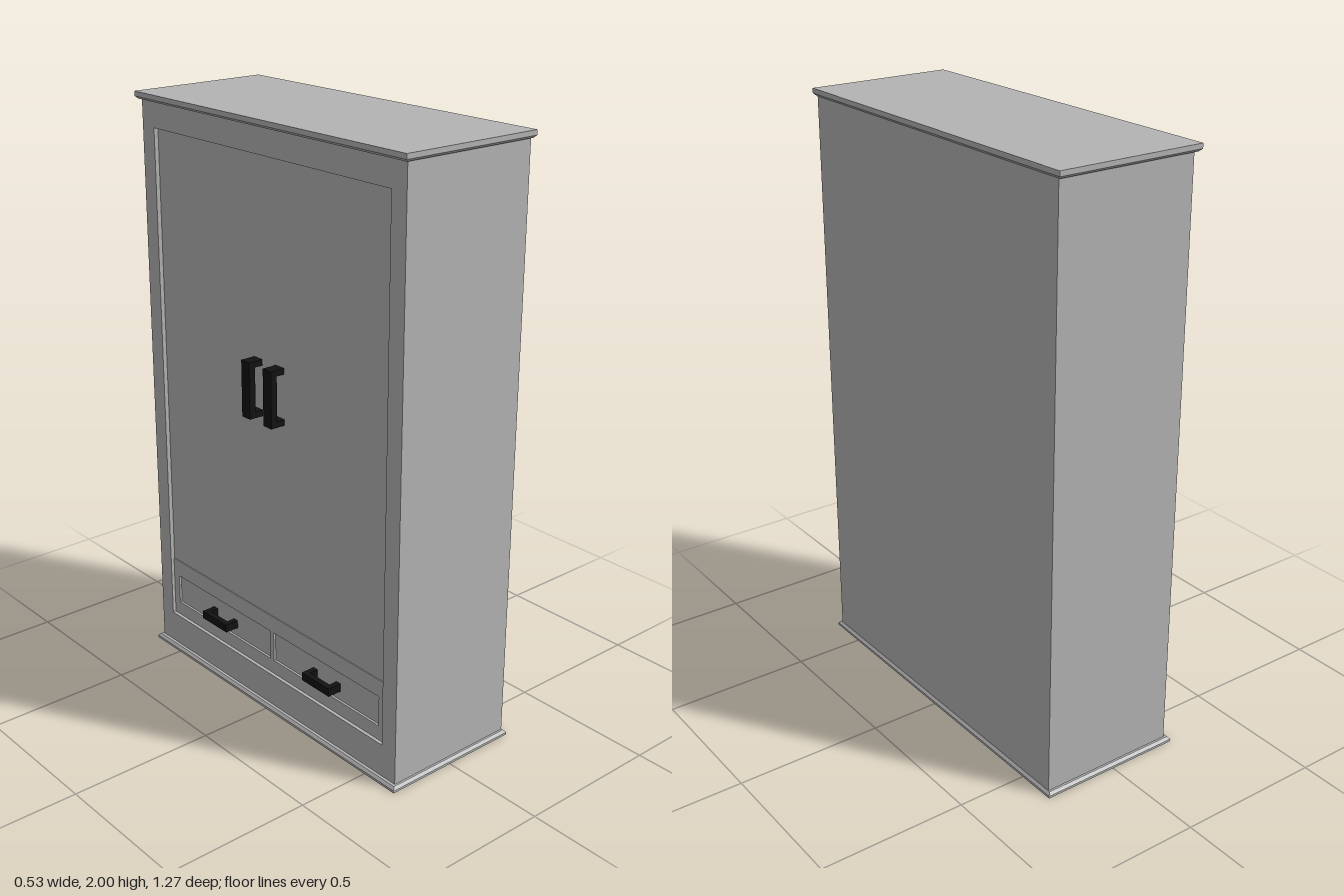
import * as THREE from 'three';

export function createModel() {
  const root = new THREE.Group();
  root.name = 'wardrobe';
  const grey = new THREE.MeshStandardMaterial({ color: 0xb3b3b3 });
  grey.name = 'greyPaint';
  const black = new THREE.MeshStandardMaterial({ color: 0x121212 });
  black.name = 'blackMetal';

  // Box given by its minimum and maximum corners
  function box(name, [x0, y0, z0], [x1, y1, z1], material = grey, parent = root) {
    const mesh = new THREE.Mesh(new THREE.BoxGeometry(x1 - x0, y1 - y0, z1 - z0), material);
    mesh.position.set((x0 + x1) / 2, (y0 + y1) / 2, (z0 + z1) / 2);
    mesh.name = name;
    parent.add(mesh);
    return mesh;
  }

  // Rectangle in the door plane: u runs along z, v along y
  function rect(Type, u0, u1, v0, v1) {
    const p = new Type();
    p.moveTo(u0, v0);
    p.lineTo(u1, v0);
    p.lineTo(u1, v1);
    p.lineTo(u0, v1);
    p.closePath();
    return p;
  }

  // Flat frame with openings, filling x0..x1 on the door side
  function frame(name, outer, holes, x0, x1) {
    const shape = rect(THREE.Shape, ...outer);
    holes.forEach(h => shape.holes.push(rect(THREE.Path, ...h)));
    const geo = new THREE.ExtrudeGeometry(shape, { depth: x1 - x0, bevelEnabled: false });
    geo.rotateY(-Math.PI / 2);
    const mesh = new THREE.Mesh(geo, grey);
    mesh.position.x = x1;
    mesh.name = name;
    root.add(mesh);
  }

  // Slab whose upper or lower face is drawn in to make a chamfer
  function chamfer(name, y0, y1, side) {
    const mesh = box(name, [-0.246, y0, -0.637], [0.261, y1, 0.637]);
    const p = mesh.geometry.attributes.position;
    for (let i = 0; i < p.count; i++) {
      if (p.getY(i) * side > 0) {
        p.setX(i, p.getX(i) - Math.sign(p.getX(i)) * 0.008);
        p.setZ(i, p.getZ(i) - Math.sign(p.getZ(i)) * 0.008);
      }
    }
    mesh.geometry = mesh.geometry.toNonIndexed();
    mesh.geometry.computeVertexNormals();
  }

  // Carcass, plinth and cornice
  box('carcass', [-0.208, 0.01, -0.622], [0.252, 1.98, 0.622]);
  chamfer('plinthChamfer', 0.008, 0.017, 1);
  box('plinth', [-0.246, 0, -0.637], [0.261, 0.008, 0.637]);
  chamfer('corniceChamfer', 1.976, 1.984, -1);
  box('cornice', [-0.246, 1.984, -0.637], [0.261, 2, 0.637]);

  // Face frame around the recessed doors and drawers
  frame('faceFrame', [-0.622, 0.622, 0.01, 1.98], [[-0.56, 0.56, 0.13, 1.89]], -0.228, -0.208);

  // Drawer front with two sunken panels
  frame('drawerFront', [-0.56, 0.56, 0.13, 0.345],
    [[-0.53, -0.01, 0.18, 0.285], [0.01, 0.53, 0.18, 0.285]], -0.216, -0.208);

  for (const s of [-1, 1]) {
    // Door leaf
    box('door', [-0.213, 0.345, s > 0 ? 0 : -0.56], [-0.207, 1.89, s > 0 ? 0.56 : 0]);

    // Upright door handle: grip and two posts
    const doorHandle = new THREE.Group();
    doorHandle.name = 'doorHandle';
    const z = s * 0.054;
    box('grip', [-0.265, 1.05, z - 0.02], [-0.242, 1.24, z + 0.02], black, doorHandle);
    for (const y of [1.05, 1.22])
      box('post', [-0.243, y, z - 0.02], [-0.21, y + 0.02, z + 0.02], black, doorHandle);
    root.add(doorHandle);

    // Level drawer handle
    const drawerHandle = new THREE.Group();
    drawerHandle.name = 'drawerHandle';
    const c = s * 0.27 + 0.004;
    box('grip', [-0.258, 0.212, c - 0.067], [-0.238, 0.24, c + 0.067], black, drawerHandle);
    for (const e of [-0.057, 0.057])
      box('post', [-0.239, 0.212, c + e - 0.01], [-0.206, 0.24, c + e + 0.01], black, drawerHandle);
    root.add(drawerHandle);
  }
  return root;
}
